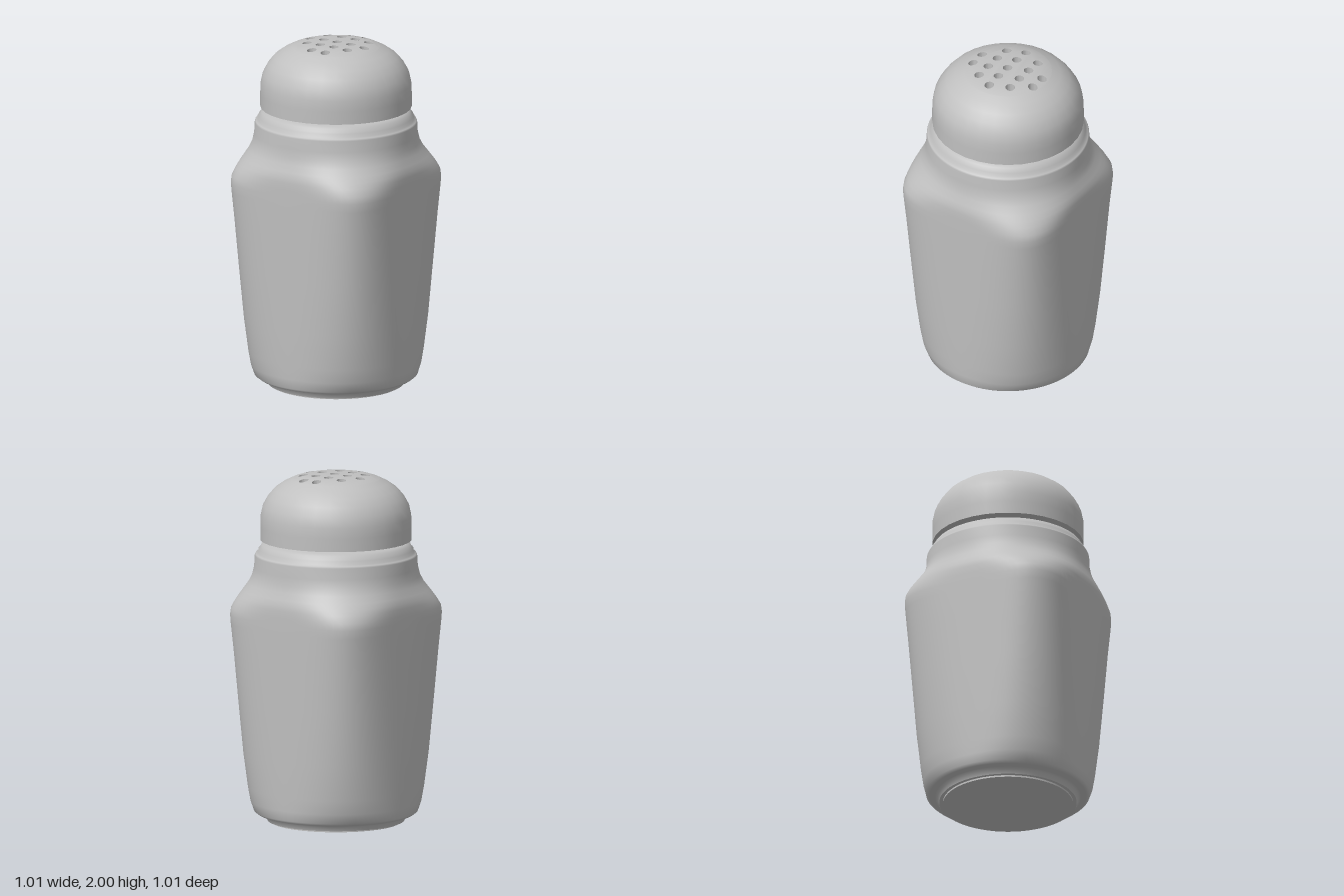
import * as THREE from 'three';
import { mergeVertices } from 'three/addons/utils/BufferGeometryUtils.js';

const grey = new THREE.MeshStandardMaterial({ color: 0xc0c0c0 });
grey.name = 'plain grey';

const CAP_SIDES = 32;
const PLATE_R = 0.25;
const domeDrop = (r) => 6.4 * r ** 4;

function add(group, name, geometry, y = 0) {
  const mesh = new THREE.Mesh(geometry, grey);
  mesh.name = name;
  mesh.position.y = y;
  group.add(mesh);
  return mesh;
}

// Bottle: each row is [height, half width, half diagonal]; the two widths
// decide how square the superellipse cross-section is.
function bottleGeometry() {
  const rows = [
    [0.01, 0.39, 0.39], [0.035, 0.4, 0.4], [0.045, 0.415, 0.415], [0.05, 0.445, 0.445],
    [0.065, 0.463, 0.465], [0.12, 0.467, 0.485], [0.2, 0.471, 0.5], [0.4, 0.479, 0.527],
    [0.7, 0.488, 0.556], [1.0, 0.497, 0.584], [1.15, 0.501, 0.6], [1.2, 0.502, 0.604],
    [1.24, 0.503, 0.598], [1.28, 0.503, 0.575], [1.31, 0.5, 0.553], [1.34, 0.491, 0.53],
    [1.38, 0.476, 0.499], [1.42, 0.466, 0.478], [1.47, 0.462, 0.465], [1.535, 0.461, 0.461],
    [1.545, 0.456, 0.456], [1.552, 0.442, 0.442], [1.572, 0.44, 0.44], [1.58, 0.428, 0.428],
    [1.598, 0.423, 0.423], [1.61, 0.4, 0.4], [1.615, 0.36, 0.36], [1.622, 0.35, 0.35],
    [1.66, 0.35, 0.35],
  ];
  const g = new THREE.LatheGeometry(rows.map(([y, a]) => new THREE.Vector2(a, y)), 96);
  const p = g.attributes.position;
  for (let i = 0; i < p.count; i++) {
    const [, a, d] = rows[i % rows.length];
    const n = 1 / (0.5 - Math.log2(d / a));
    const c = Math.abs(p.getX(i)) / a, s = Math.abs(p.getZ(i)) / a;
    const k = (c ** n + s ** n) ** (-1 / n);
    p.setX(i, p.getX(i) * k);
    p.setZ(i, p.getZ(i) * k);
  }
  // Weld the seam so the shading runs right round
  g.deleteAttribute('uv');
  g.deleteAttribute('normal');
  const welded = mergeVertices(g);
  welded.computeVertexNormals();
  return welded;
}

// Perforated top plate, bent to follow the dome
function plateGeometry() {
  const rim = [];
  for (let i = 0; i < CAP_SIDES; i++) {
    const t = (i / CAP_SIDES) * Math.PI * 2;
    rim.push(new THREE.Vector2(Math.cos(t) * PLATE_R, Math.sin(t) * PLATE_R));
  }
  const shape = new THREE.Shape(rim);
  const holeRows = [[2, -0.212], [4, -0.114], [5, -0.002], [4, 0.099], [2, 0.198]];
  for (const [count, z] of holeRows) {
    for (let i = 0; i < count; i++) {
      const x = (i - (count - 1) / 2) * 0.093 + (count === 2 ? 0.016 : 0.007);
      shape.holes.push(new THREE.Path().absarc(x, -z, 0.027, 0, Math.PI * 2, true));
    }
  }
  const depth = 0.05;
  const g = new THREE.ExtrudeGeometry(shape, { depth, bevelEnabled: false, curveSegments: 10 });
  g.rotateX(-Math.PI / 2);
  const p = g.attributes.position, nrm = g.attributes.normal, v = new THREE.Vector3();
  for (let i = 0; i < p.count; i++) {
    const x = p.getX(i), z = p.getZ(i), r = Math.hypot(x, z);
    p.setY(i, p.getY(i) - depth - domeDrop(r));
    if (nrm.getY(i) > 0.5) {
      const slope = 25.6 * r * r;
      v.set(x * slope, 1, z * slope).normalize();
      nrm.setXYZ(i, v.x, v.y, v.z);
    }
  }
  return g;
}

export function createModel() {
  const model = new THREE.Group();
  model.name = 'shaker';

  add(model, 'bottle', bottleGeometry());
  add(model, 'bottleBase', new THREE.CircleGeometry(0.39, 96).rotateX(Math.PI / 2), 0.01);
  // Shallow raised foot under the base
  add(model, 'foot', new THREE.CylinderGeometry(0.37, 0.37, 0.01, 64), 0.005);

  const cap = new THREE.Group();
  cap.name = 'cap';
  model.add(cap);

  // Cap wall and rounded shoulder
  const wall = [
    [0.43, 1.625], [0.43, 1.7], [0.429, 1.76], [0.416, 1.82], [0.387, 1.872],
    [0.35, 1.916], [0.3, 1.951], [PLATE_R, 2 - domeDrop(PLATE_R)],
  ].map(([r, y]) => new THREE.Vector2(r, y));
  // A quarter turn lines the wall's facets up with the plate rim
  add(cap, 'capWall', new THREE.LatheGeometry(wall, CAP_SIDES));
  add(cap, 'capUnderside', new THREE.RingGeometry(0.34, 0.43, CAP_SIDES).rotateX(Math.PI / 2), 1.625);
  add(cap, 'perforatedTop', plateGeometry(), 2);
  add(cap, 'holeFloor', new THREE.CircleGeometry(0.28, CAP_SIDES).rotateX(-Math.PI / 2), 1.92);

  return model;
}
